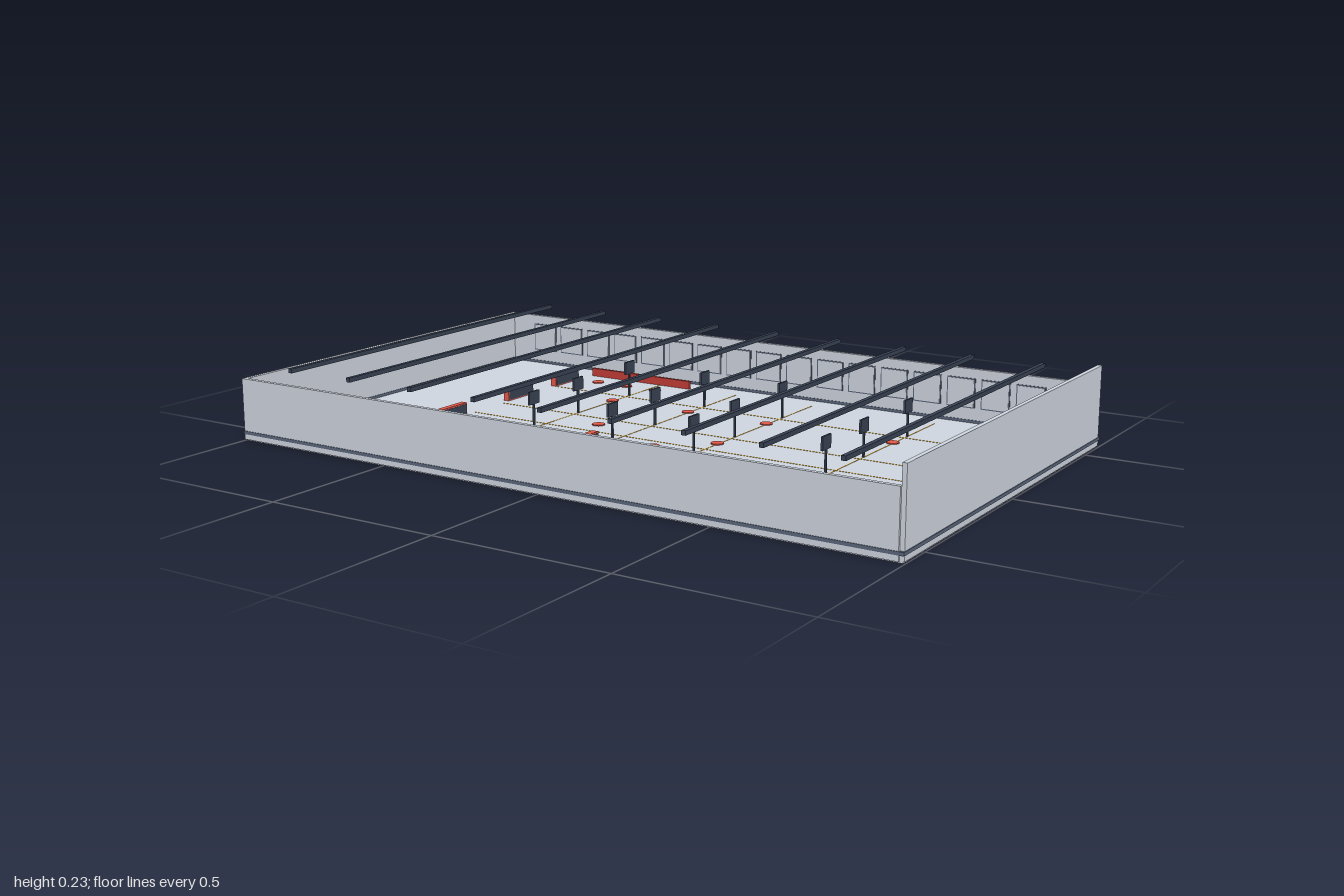
import * as THREE from 'three';

const mat = (name, color) => {
  const m = new THREE.MeshStandardMaterial({ color });
  m.name = name;
  return m;
};

export function createModel() {
  const model = new THREE.Group();
  model.name = 'openHall';

  const grey = mat('pale grey', 0xcfd6e0);
  const trim = mat('slate trim', 0x5a667b);
  const dark = mat('dark steel', 0x384254);
  const red = mat('signal red', 0xe2594a);
  const deepRed = mat('rail red', 0xc23c36);
  const yellow = mat('line yellow', 0xeebb3c);
  const brown = mat('room floor brown', 0x857163);
  const darkBrown = mat('room wall brown', 0x6b5647);

  const group = (name) => {
    const g = new THREE.Group();
    g.name = name;
    model.add(g);
    return g;
  };
  // Box given by its lower and upper bounds on each axis
  const box = (parent, name, material, [x0, x1], [y0, y1], [z0, z1]) => {
    const mesh = new THREE.Mesh(new THREE.BoxGeometry(x1 - x0, y1 - y0, z1 - z0), material);
    mesh.position.set((x0 + x1) / 2, (y0 + y1) / 2, (z0 + z1) / 2);
    mesh.name = name;
    parent.add(mesh);
  };
  const around = (c, size) => [c - size / 2, c + size / 2];

  const FLOOR = 0.02;

  // Floor slab and outer walls, with one taller end wall
  box(model, 'floorSlab', grey, [-0.995, 0.995], [0, FLOOR], [-0.6, 0.6]);
  const walls = group('walls');
  box(walls, 'lowEndWall', grey, [-0.998, -0.986], [0.004, 0.175], [-0.594, 0.594]);
  box(walls, 'tallEndWall', grey, [0.986, 0.998], [0.004, 0.227], [-0.6, 0.6]);
  for (const s of [-1, 1]) {
    box(walls, 'longWall', grey, [-0.998, 0.986], [0.004, 0.175], around(s * 0.6, 0.012));
  }

  // Skirting band wrapping the foot of the walls
  const skirting = group('skirting');
  for (const s of [-1, 1]) {
    box(skirting, 'longSkirting', trim, [-1, 1], [0.019, 0.028], around(s * 0.6, 0.016));
    box(skirting, 'endSkirting', trim, around(s * 0.992, 0.016), [0.019, 0.028], [-0.592, 0.592]);
  }

  // Framed windows on the inside of both long walls
  const windows = group('windows');
  for (const s of [-1, 1]) {
    for (let i = 0; i < 18; i++) {
      const x = -0.86 + i * 0.104;
      box(windows, 'windowFrame', trim, around(x, 0.086), [0.062, 0.148], around(s * 0.5935, 0.003));
      box(windows, 'windowPane', grey, around(x, 0.079), [0.0655, 0.1445], around(s * 0.5925, 0.004));
    }
  }

  // Thin rail on the inside of the tall end wall
  box(model, 'wallRail', trim, [0.983, 0.987], [0.198, 0.201], [-0.47, 0.46]);

  // Roof beams
  const beams = group('roofBeams');
  for (let i = -4; i <= 4; i++) {
    box(beams, 'roofBeam', dark, around(i * 0.209, 0.012), [0.205, 0.217], [-0.59, 0.585]);
  }

  // Painted floor lines
  const lines = group('floorLines');
  const lineY = [FLOOR, FLOOR + 0.0008];
  for (const z of [-0.335, -0.07, 0.065, 0.135, 0.27]) {
    box(lines, 'longLine', yellow, [-0.625, 0.91], lineY, around(z, 0.003));
  }
  const bays = [-0.37, -0.105, 0.155, 0.547];
  for (const x of bays) {
    box(lines, 'crossLine', yellow, around(x, 0.003), lineY, [-0.53, 0.52]);
  }

  // Round floor markers
  const markers = group('floorMarkers');
  const disc = new THREE.CylinderGeometry(0.018, 0.018, 0.003, 20);
  const spots = [
    [-0.55, -0.447], [-0.445, -0.447], [-0.34, -0.447],
    [-0.37, -0.263], [-0.105, -0.263], [0.155, -0.263], [0.547, -0.263],
    [-0.235, 0], [0.155, 0], [0.025, 0.117], [-0.095, 0.207], [0.14, 0.455],
  ];
  for (const [x, z] of spots) {
    const marker = new THREE.Mesh(disc, red);
    marker.position.set(x, FLOOR + 0.003, z);
    marker.name = 'floorMarker';
    markers.add(marker);
  }

  // Sign posts along the aisles
  const signs = group('signPosts');
  for (const x of bays) {
    for (const z of [-0.353, -0.09, 0.12]) {
      box(signs, 'post', dark, around(x, 0.005), [FLOOR, 0.09], around(z, 0.006));
      box(signs, 'sign', dark, around(x, 0.006), [0.088, 0.125], around(z, 0.045));
    }
  }

  // Red cabinets with dark panels on both long faces
  const cabinets = group('cabinets');
  const cabinet = (x, z, width, length) => {
    box(cabinets, 'cabinet', red, around(x, width), [FLOOR, 0.054], around(z, length));
    for (const s of [-1, 1]) {
      box(cabinets, 'cabinetPanel', dark, around(x + s * width / 2, 0.002),
        [0.023, 0.05], around(z, length - 0.006));
    }
  };
  for (const z of [-0.395, -0.16, 0.155, 0.39]) cabinet(-0.639, z, 0.018, 0.12);
  cabinet(-0.128, 0.207, 0.02, 0.08);

  // Low red barrier near the back wall
  box(model, 'barrier', deepRed, [-0.625, -0.265], [FLOOR, 0.044], around(-0.527, 0.009));

  // Small open-topped room
  const room = group('smallRoom');
  box(room, 'roomFloor', brown, [0.05, 0.205], [FLOOR, 0.0225], [0.385, 0.525]);
  for (const x of [0.054, 0.201]) {
    box(room, 'roomSideWall', darkBrown, around(x, 0.008), [FLOOR, 0.065], [0.385, 0.525]);
  }
  for (const z of [0.389, 0.521]) {
    box(room, 'roomEndWall', darkBrown, [0.058, 0.197], [FLOOR, 0.065], around(z, 0.008));
  }

  return model;
}
